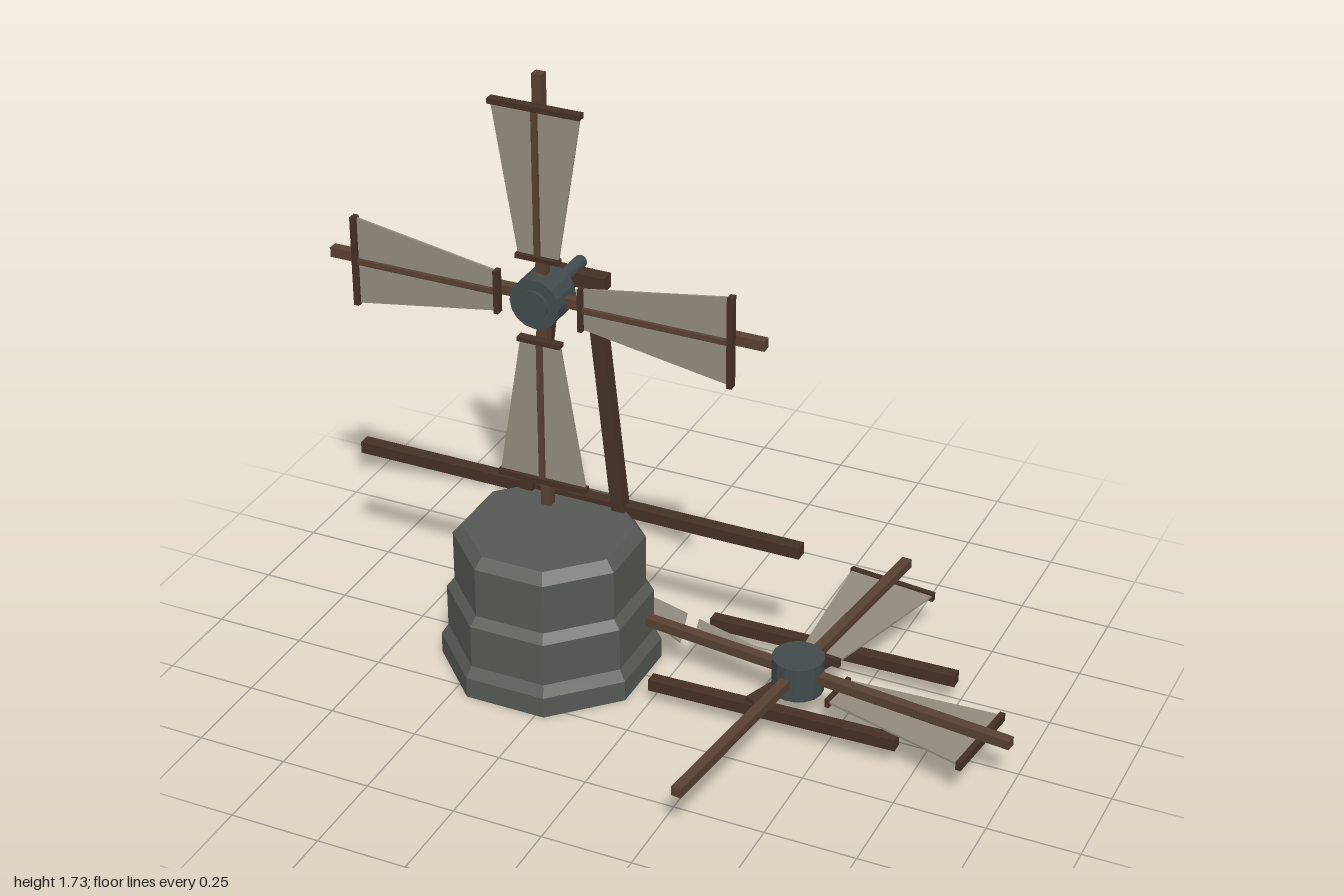
import * as THREE from 'three';

const mat = (color, side = THREE.FrontSide) =>
  new THREE.MeshStandardMaterial({ color, side, flatShading: true });
const stone = mat(0x555853);
const wood = mat(0x453024);
const sparWood = mat(0x574030);
const metal = mat(0x414a4c);
const cloth = mat(0x928a7b, THREE.DoubleSide);

function add(parent, name, geometry, material, x = 0, y = 0, z = 0) {
  const mesh = new THREE.Mesh(geometry, material);
  mesh.name = name;
  mesh.position.set(x, y, z);
  parent.add(mesh);
  return mesh;
}

const box = (parent, name, w, h, d, material, x, y, z) =>
  add(parent, name, new THREE.BoxGeometry(w, h, d), material, x, y, z);

// Square beam running between two points
function beam(parent, name, from, to, width, depth = width) {
  const a = new THREE.Vector3(...from), b = new THREE.Vector3(...to);
  const mesh = box(parent, name, width, a.distanceTo(b), depth, wood, 0, 0, 0);
  mesh.position.copy(a).add(b).multiplyScalar(0.5);
  mesh.quaternion.setFromUnitVectors(new THREE.Vector3(0, 1, 0), b.sub(a).normalize());
}

// Cylinder lying along z
function disc(parent, name, r, z0, z1) {
  const g = new THREE.CylinderGeometry(r, r, z1 - z0, 16).rotateX(Math.PI / 2);
  add(parent, name, g, metal, 0, 0, (z0 + z1) / 2);
}

// Sheet of sail cloth from corner points
function sailSheet(parent, corners) {
  const shape = new THREE.Shape(corners.map(([x, y]) => new THREE.Vector2(x, y)));
  const g = new THREE.ExtrudeGeometry(shape, { depth: 0.006, bevelEnabled: false });
  add(parent, 'sail', g, cloth, 0, 0, 0.036);
}

// Wheel facing +z; arms start at the top and go counter-clockwise
function sailWheel(name, arms) {
  const wheel = new THREE.Group();
  wheel.name = name;
  disc(wheel, 'hub', 0.07, -0.03, 0.07);
  disc(wheel, 'hubCap', 0.04, 0.07, 0.078);
  arms.forEach((kind, k) => {
    const arm = new THREE.Group();
    arm.name = 'arm';
    arm.rotation.z = k * Math.PI / 2;
    wheel.add(arm);
    box(arm, 'spar', 0.028, 0.62, 0.026, sparWood, 0, 0.31, 0.017);
    if (kind === 'full') {
      sailSheet(arm, [[-0.057, 0.12], [0.057, 0.12], [0.125, 0.535], [-0.125, 0.535]]);
      box(arm, 'sailBatten', 0.015, 0.42, 0.012, sparWood, 0, 0.328, 0.046);
      box(arm, 'innerSailBar', 0.122, 0.013, 0.024, wood, 0, 0.12, 0.042);
      box(arm, 'outerSailBar', 0.256, 0.015, 0.024, wood, 0, 0.535, 0.042);
    } else if (kind === 'torn') {
      sailSheet(arm, [[0, 0.11], [-0.057, 0.11], [-0.1, 0.363], [0, 0.32]]);
      sailSheet(arm, [[0.02, 0.35], [-0.108, 0.405], [-0.13, 0.54], [-0.04, 0.5]]);
    }
  });
  return wheel;
}

export function createModel() {
  const model = new THREE.Group();
  model.name = 'ruinedWindmill';

  // Eight-sided stepped stone base; profile gives the distance to each flat
  const profile = [[0, 0], [0.277, 0], [0.277, 0.06], [0.259, 0.09], [0.259, 0.215],
    [0.239, 0.24], [0.239, 0.385], [0.215, 0.415], [0, 0.415]]
    .map(([r, y]) => new THREE.Vector2(r / Math.cos(Math.PI / 8), y));
  add(model, 'stoneBase', new THREE.LatheGeometry(profile, 8, Math.PI / 8), stone, -0.34, 0, 0.015);

  // Standing frame: long beam, two leaning legs, crosspiece
  box(model, 'longBeam', 1.32, 0.034, 0.036, wood, -0.34, 0.412, -0.152);
  for (const s of [-1, 1])
    beam(model, 'frameLeg', [-0.34 + s * 0.14, 0.4, -0.139], [-0.34 + s * 0.058, 1.1, -0.152], 0.038);
  box(model, 'crosspiece', 0.2, 0.04, 0.042, wood, -0.34, 1.085, -0.152);

  // Upright wheel with its axle
  const upright = sailWheel('uprightWheel', ['full', 'full', 'full', 'full']);
  disc(upright, 'axle', 0.018, -0.2, -0.03);
  upright.position.set(-0.34, 1.105, 0);
  model.add(upright);

  // Fallen wheel lying face down, one arm bare and one sail torn
  const fallen = sailWheel('fallenWheel', ['bare', 'torn', 'full', 'full']);
  fallen.rotation.set(Math.PI / 2, 0, 0.115);
  fallen.position.set(0.38, 0.16, 0);
  model.add(fallen);

  // Loose beams under the fallen wheel
  beam(model, 'looseBeamFront', [0, 0.061, 0.102], [0.7, 0.076, 0.102], 0.034);
  beam(model, 'looseBeamBack', [0.03, 0.061, -0.235], [0.74, 0.074, -0.235], 0.034);
  beam(model, 'looseCrossBeam', [0.29, 0.08, 0.11], [0.41, 0.066, -0.25], 0.034);
  return model;
}
